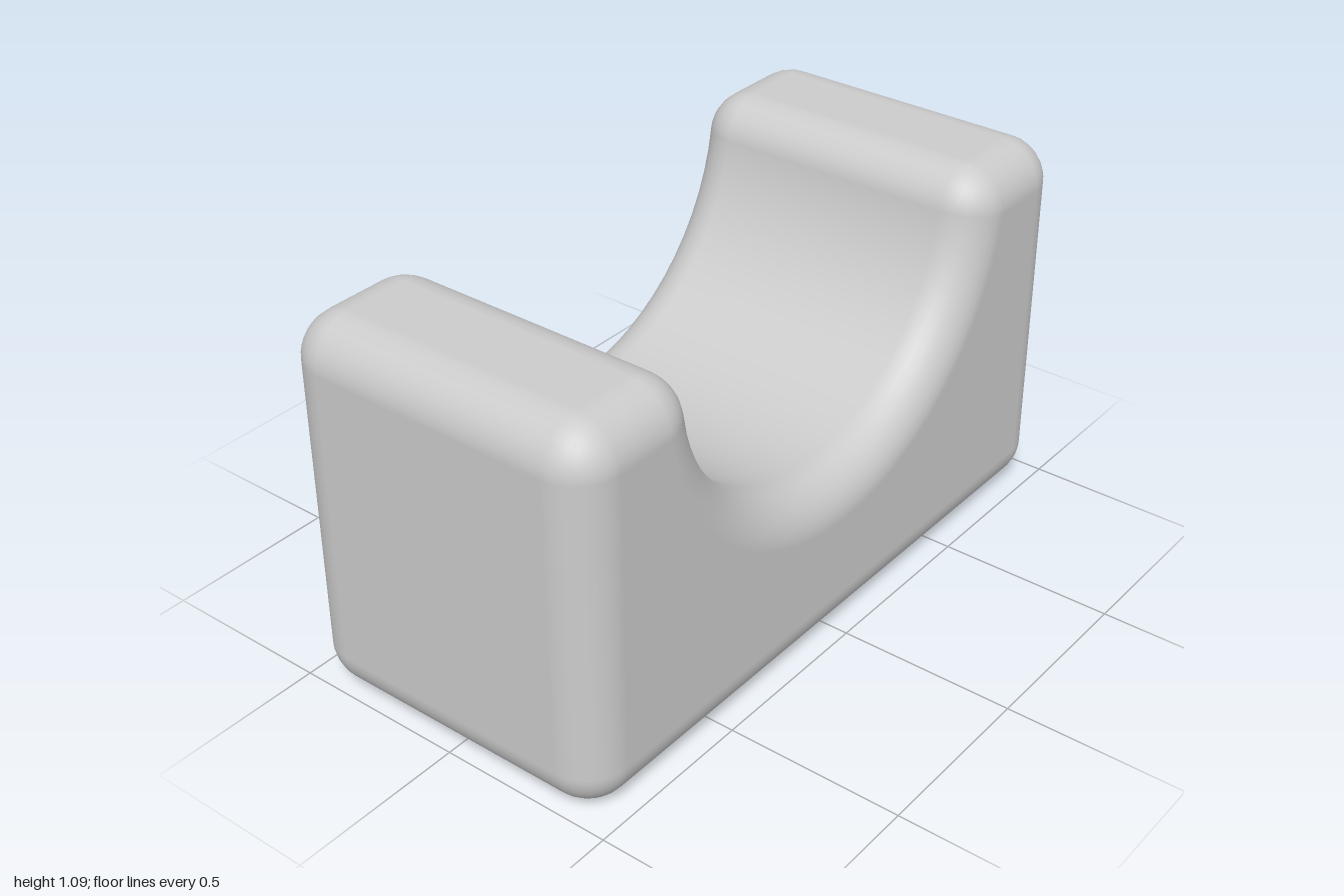
import * as THREE from 'three';

const HALF_WIDTH = 0.475, HALF_LENGTH = 1, HEIGHT = 1.085;
const ROUND = 0.125;                       // edge rounding radius
const CRADLE_Y = 1.07, CRADLE_R = 0.585;   // cradle circle
const CORNER_STEPS = 8, ARC_STEPS = 28, EDGE_STEPS = 8;

// Inset side profile (z, y), counter-clockwise, with an outward normal angle per point
function insetProfile() {
  const pts = [];
  const corner = (z, y, a0, a1) => {
    for (let i = 0; i <= CORNER_STEPS; i++) pts.push({ z, y, a: a0 + (a1 - a0) * i / CORNER_STEPS });
  };
  const L = HALF_LENGTH - ROUND, top = HEIGHT - ROUND, r = CRADLE_R + ROUND;
  const tip = Math.asin((CRADLE_Y - top) / r), tipZ = r * Math.cos(tip), Q = Math.PI / 2;
  corner(-L, ROUND, 2 * Q, 3 * Q);
  corner(L, ROUND, 3 * Q, 4 * Q);
  corner(L, top, 0, Q);
  corner(tipZ, top, Q, 2 * Q - tip);
  for (let i = 1; i < ARC_STEPS; i++) {
    const a = Math.PI - tip - (Math.PI - 2 * tip) * i / ARC_STEPS; // normal faces the circle centre
    pts.push({ z: -r * Math.cos(a), y: CRADLE_Y - r * Math.sin(a), a });
  }
  corner(-tipZ, top, tip, Q);
  corner(-L, top, Q, 2 * Q);
  return pts;
}

// Sweep the profile across the width, swelling it by a quarter circle at each side
function cradleGeometry() {
  const prof = insetProfile(), n = prof.length;
  const position = [], normal = [], index = [];
  const rings = [];
  for (const side of [-1, 1]) {
    for (let i = 0; i <= EDGE_STEPS; i++) {
      const t = Math.PI / 2 * i / EDGE_STEPS;
      rings.push({ side, t: side < 0 ? t - Math.PI / 2 : t });
    }
  }
  for (const { side, t } of rings) {
    const c = Math.cos(t), s = Math.sin(t);
    for (const p of prof) {
      const nz = c * Math.cos(p.a), ny = c * Math.sin(p.a);
      position.push(side * (HALF_WIDTH - ROUND) + ROUND * s, p.y + ROUND * ny, p.z + ROUND * nz);
      normal.push(s, ny, nz);
    }
  }
  for (let k = 0; k < rings.length - 1; k++) {
    for (let i = 0; i < n; i++) {
      const j = (i + 1) % n, a = k * n + i, b = k * n + j;
      index.push(a, a + n, b, b, a + n, b + n);
    }
  }
  // Flat side faces, from the distinct profile points
  const ids = prof.map((p, i) => i).filter(i => {
    const q = prof[(i + n - 1) % n];
    return Math.hypot(prof[i].z - q.z, prof[i].y - q.y) > 1e-6;
  });
  const outline = ids.map(i => new THREE.Vector2(prof[i].z, prof[i].y));
  const last = (rings.length - 1) * n;
  for (const [a, b, c] of THREE.ShapeUtils.triangulateShape(outline, [])) {
    const [A, B, C] = [ids[a], ids[b], ids[c]];
    index.push(A, B, C, last + A, last + C, last + B);
  }
  const geo = new THREE.BufferGeometry();
  geo.setAttribute('position', new THREE.Float32BufferAttribute(position, 3));
  geo.setAttribute('normal', new THREE.Float32BufferAttribute(normal, 3));
  geo.setIndex(index);
  return geo;
}

export function createModel() {
  const group = new THREE.Group();
  group.name = 'cradleBlock';
  const body = new THREE.Mesh(cradleGeometry(), new THREE.MeshStandardMaterial({ color: 0xcccccc }));
  body.name = 'roundedCradle';
  group.add(body);
  return group;
}
